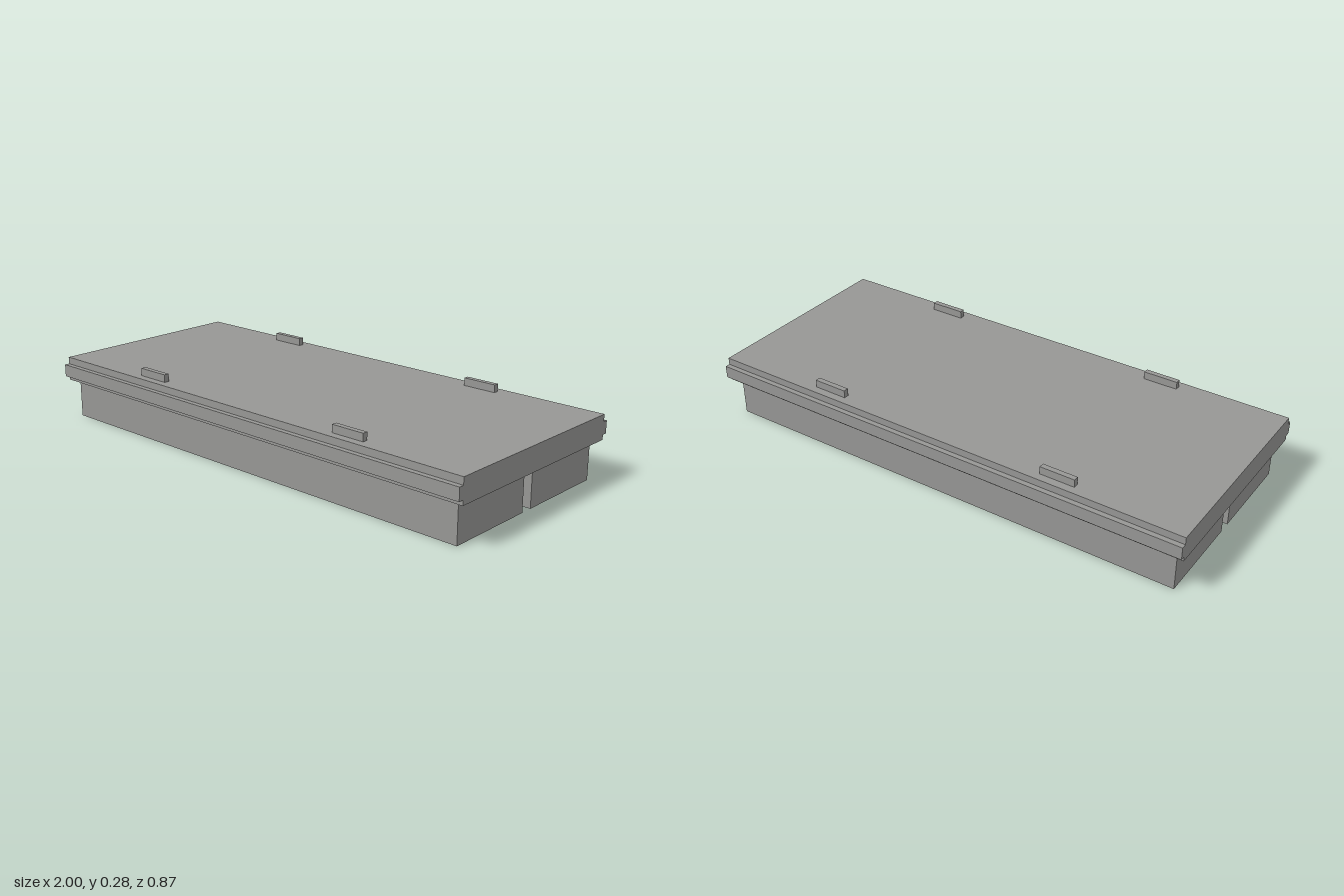
import * as THREE from 'three';

const DECK_BOTTOM = 0.154, DECK_TOP = 0.25;

export function createModel() {
  const model = new THREE.Group();
  model.name = 'deckModule';
  const grey = new THREE.MeshStandardMaterial({ color: 0x979795, side: THREE.DoubleSide });
  grey.name = 'warm grey';

  const add = (name, geometry, x = 0, y = 0, z = 0) => {
    const mesh = new THREE.Mesh(geometry, grey);
    mesh.name = name;
    mesh.position.set(x, y, z);
    model.add(mesh);
  };

  // Deck: one cross-section with a raised rail on each long edge, run along x
  const half = [
    [0.416, DECK_BOTTOM], [0.416, 0.173], [0.436, 0.173],
    [0.436, 0.222], [0.416, 0.222], [0.416, DECK_TOP],
  ];
  const mirrored = half.map(([z, y]) => [-z, y]).reverse();
  const section = new THREE.Shape([...half, ...mirrored].map(([z, y]) => new THREE.Vector2(z, y)));
  const deck = new THREE.ExtrudeGeometry(section, { depth: 2, bevelEnabled: false });
  deck.translate(0, 0, -1).rotateY(Math.PI / 2);
  add('deck', deck);

  for (const side of [1, -1]) {
    const sideName = side > 0 ? 'front' : 'back';

    // Hollow skirt: four thin walls, open below and closed above by the deck
    const skirt = new THREE.BoxGeometry(1.93, DECK_BOTTOM, 0.366);
    const index = Array.from(skirt.index.array);
    skirt.setIndex([...index.slice(0, 12), ...index.slice(24)]);
    skirt.clearGroups();
    add(sideName + 'Skirt', skirt, 0, DECK_BOTTOM / 2, side * 0.207);

    // Locating lugs on top
    for (const x of [0.5, -0.5]) {
      add(sideName + (x > 0 ? 'LeftLug' : 'RightLug'),
        new THREE.BoxGeometry(0.138, 0.03, 0.021), x, DECK_TOP + 0.015, side * 0.374);
    }
  }
  return model;
}
